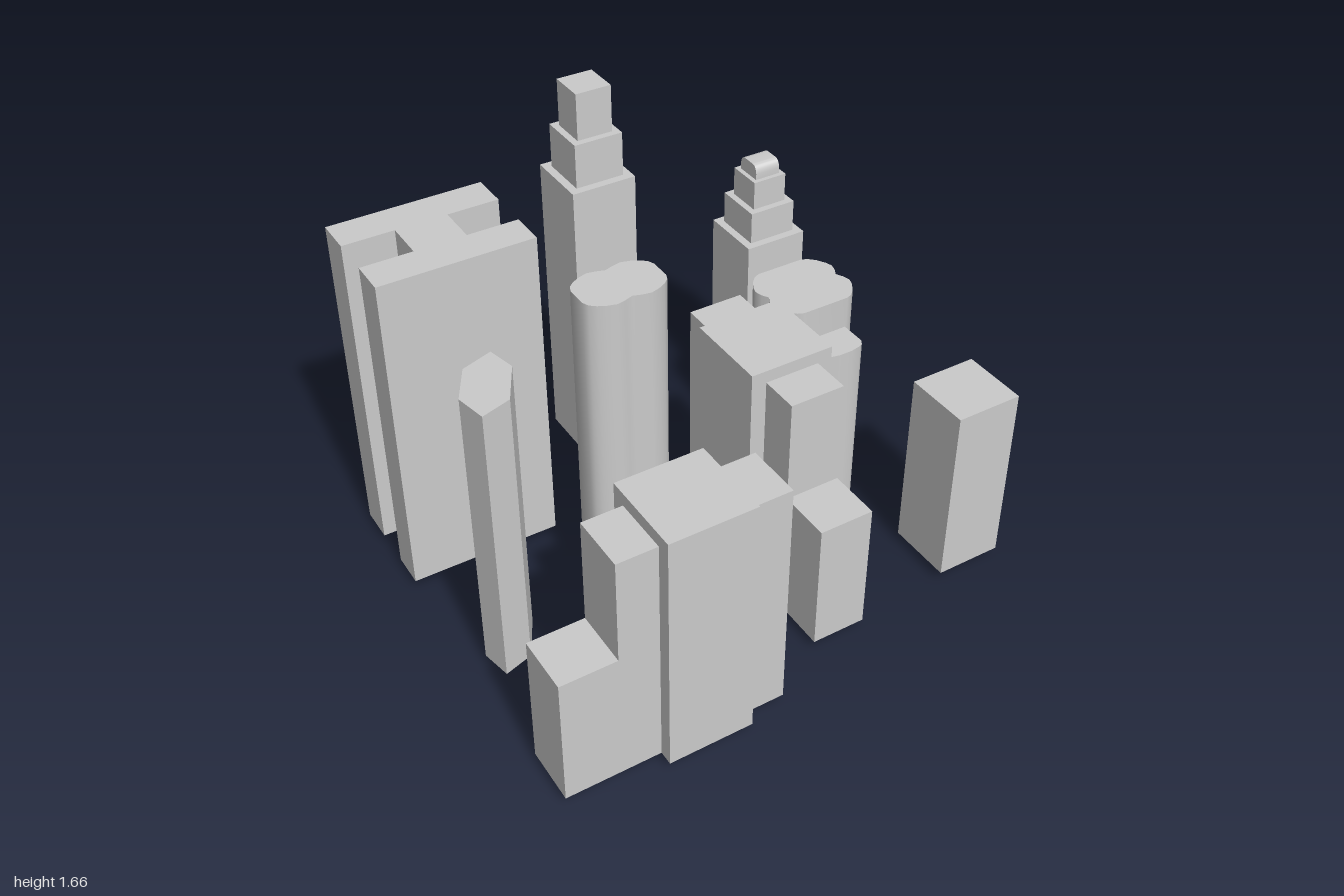
import * as THREE from 'three';
import { toCreasedNormals } from 'three/addons/utils/BufferGeometryUtils.js';

const material = new THREE.MeshStandardMaterial({ color: 0xcccccc });
const BASE = 0.04;

function addMesh(parent, name, geometry) {
  const mesh = new THREE.Mesh(geometry, material);
  mesh.name = name;
  parent.add(mesh);
  return mesh;
}

// Box given by its limits on each axis
function block(parent, name, [x0, x1], [z0, z1], [y0, y1]) {
  const mesh = addMesh(parent, name, new THREE.BoxGeometry(x1 - x0, y1 - y0, z1 - z0));
  mesh.position.set((x0 + x1) / 2, (y0 + y1) / 2, (z0 + z1) / 2);
}

// Vertical prism over a plan outline of [x, z] points
function prism(parent, name, outline, y0, y1, crease = 0.1) {
  const shape = new THREE.Shape(outline.map(([x, z]) => new THREE.Vector2(x, z)));
  const geometry = new THREE.ExtrudeGeometry(shape, { depth: y1 - y0, bevelEnabled: false });
  geometry.rotateX(Math.PI / 2);
  geometry.translate(0, y1, 0);
  addMesh(parent, name, toCreasedNormals(geometry, crease));
}

// Mirrors a quarter outline (from the z axis to the x axis) around a centre
function mirrorQuarter(quarter, cx, cz) {
  const reversed = [...quarter].reverse();
  const sides = [[quarter, 1, 1], [reversed, 1, -1], [quarter, -1, -1], [reversed, -1, 1]];
  const points = sides.flatMap(([pts, sx, sz]) => pts.map(([x, z]) => [cx + sx * x, cz + sz * z]));
  return points.filter((p, i) => {
    const q = points[(i + 1) % points.length];
    return Math.hypot(p[0] - q[0], p[1] - q[1]) > 1e-4;
  });
}

// Square tiers stacked around one axis: [half width, top height]
function steppedTower(parent, cx, cz, y0, tiers) {
  let bottom = y0;
  tiers.forEach(([half, top], i) => {
    block(parent, `tier${i + 1}`, [cx - half, cx + half], [cz - half, cz + half], [bottom, top]);
    bottom = top;
  });
}

export function createModel() {
  const city = new THREE.Group();
  city.name = 'cityBlock';
  const group = (name) => {
    const g = new THREE.Group();
    g.name = name;
    city.add(g);
    return g;
  };

  // H-plan slab tower
  prism(city, 'hPlanTower', [
    [-1, -0.78], [-0.4, -0.78], [-0.4, -0.635], [-0.6, -0.635], [-0.6, -0.475], [-0.4, -0.475],
    [-0.4, -0.335], [-1, -0.335], [-1, -0.475], [-0.8, -0.475], [-0.8, -0.635], [-1, -0.635],
  ], BASE, 1.38);

  // Tall stepped tower
  steppedTower(group('tallSteppedTower'), 0.045, -0.792, 0.05,
    [[0.133, 1.29], [0.1, 1.47], [0.073, 1.66]]);

  // Small stepped tower with a rounded cap
  const small = group('smallSteppedTower');
  steppedTower(small, 0.747, -0.658, 0.05, [[0.132, 0.89], [0.1, 1.025], [0.073, 1.145]]);
  const arch = new THREE.Shape();
  arch.moveTo(-0.055, 0);
  arch.lineTo(0.055, 0);
  arch.lineTo(0.055, 0.025);
  arch.quadraticCurveTo(0.052, 0.06, 0.025, 0.06);
  arch.lineTo(-0.025, 0.06);
  arch.quadraticCurveTo(-0.052, 0.06, -0.055, 0.025);
  const capGeometry = new THREE.ExtrudeGeometry(arch, { depth: 0.108, bevelEnabled: false, curveSegments: 8 });
  capGeometry.translate(0, 0, -0.054);
  capGeometry.rotateY(Math.PI / 2);
  addMesh(small, 'roundedCap', toCreasedNormals(capGeometry, 0.6)).position.set(0.747, 1.145, -0.658);

  // Six-sided tower
  prism(city, 'sixSidedTower', [
    [-0.94, 0.15], [-0.86, 0.01], [-0.74, -0.03], [-0.715, 0.08], [-0.8, 0.235], [-0.915, 0.27],
  ], BASE, 1.21);

  // Lobed tower
  prism(city, 'lobedTower', mirrorQuarter([
    [0, 0.09], [0.03, 0.1], [0.065, 0.107], [0.1, 0.097], [0.128, 0.083], [0.15, 0.064], [0.16, 0.04],
  ], -0.295, 0.053), BASE, 1.375, 0.7);

  // Wide lobed tower with a lower rounded annex
  const lobed = group('wideLobedTower');
  prism(lobed, 'lobedBody', mirrorQuarter([
    [0.1, 0.157], [0.125, 0.147], [0.15, 0.122], [0.172, 0.085], [0.18, 0.058], [0.172, 0.028], [0.157, 0],
  ], 0.663, -0.218), 0, 0.875, 0.7);
  prism(lobed, 'roundedAnnex', [
    [0.565, -0.065], [0.76, -0.065], [0.76, 0.045], [0.75, 0.063], [0.735, 0.073], [0.69, 0.082],
    [0.635, 0.082], [0.59, 0.073], [0.575, 0.063], [0.565, 0.045],
  ], 0, 0.74, 0.7);

  // Central block with wings to the front and back
  const centre = group('centralBlock');
  block(centre, 'mainBody', [0.05, 0.385], [0.01, 0.35], [BASE, 1.04]);
  block(centre, 'backWing', [0.11, 0.327], [-0.15, 0.01], [BASE, 0.99]);
  block(centre, 'frontWing', [0.11, 0.327], [0.35, 0.505], [BASE, 0.99]);
  block(centre, 'lowWing', [0.11, 0.327], [0.505, 0.715], [BASE, 0.575]);

  // Front block, the same kind turned sideways
  const front = group('frontBlock');
  block(front, 'mainBody', [-0.627, -0.295], [0.587, 0.92], [BASE, 1.04]);
  block(front, 'leftWing', [-0.295, -0.13], [0.645, 0.865], [BASE, 0.99]);
  block(front, 'rightWing', [-0.78, -0.627], [0.645, 0.865], [BASE, 0.99]);
  block(front, 'lowWing', [-0.995, -0.78], [0.645, 0.865], [BASE, 0.575]);

  // Plain corner building
  block(city, 'cornerBuilding', [0.73, 1], [0.405, 0.672], [BASE, 0.785]);

  return city;
}
